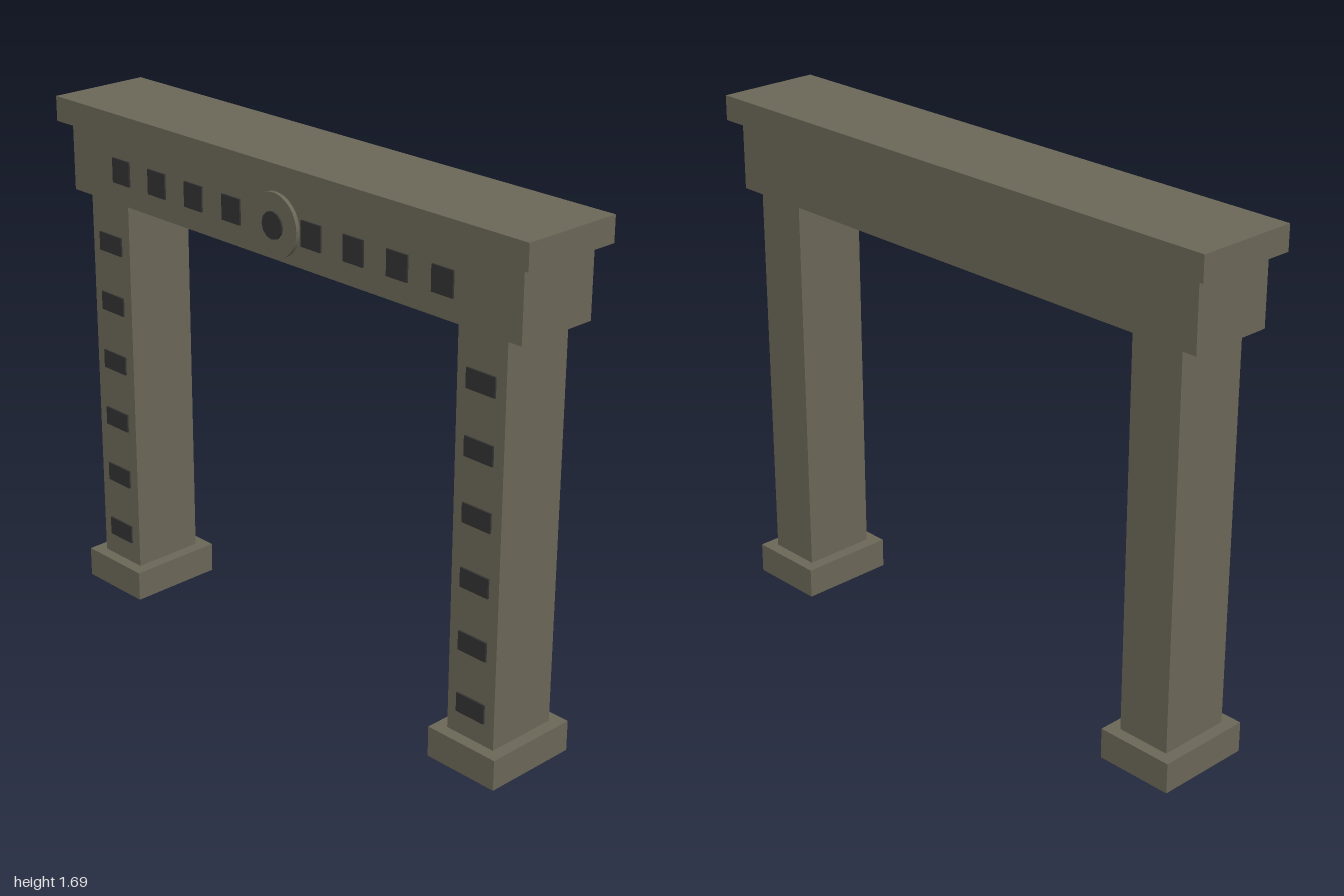
import * as THREE from 'three';

export function createModel() {
  const group = new THREE.Group();
  const stone = new THREE.MeshStandardMaterial({ color: 0x6b6858 });
  stone.name = 'stone';
  const dark = new THREE.MeshStandardMaterial({ color: 0x333333 });
  dark.name = 'dark inlay';

  const add = (name, geometry, material, x, y, z) => {
    const mesh = new THREE.Mesh(geometry, material);
    mesh.name = name;
    mesh.position.set(x, y, z);
    group.add(mesh);
    return mesh;
  };
  // Box given by its bottom and top heights
  const block = (name, x, y0, y1, width, depth) =>
    add(name, new THREE.BoxGeometry(width, y1 - y0, depth), stone, x, (y0 + y1) / 2, 0);
  // Thin inlay standing on the front surface at z
  const inlay = (name, x, y, z, width, height) =>
    add(name, new THREE.BoxGeometry(width, height, 0.008), dark, x, y, z + 0.002);

  // Pillars with plinths and a column of inlays
  for (const side of [-1, 1]) {
    const label = side > 0 ? 'left' : 'right';
    const x = side * 0.806;
    block(label + 'Plinth', x, 0, 0.1, 0.262, 0.324);
    block(label + 'Pillar', x, 0.1, 1.38, 0.182, 0.246);
    for (let i = 0; i < 6; i++) {
      inlay(label + 'PillarInlay', x, 0.205 + i * 0.2045, 0.123, 0.108, 0.062);
    }
  }

  // Lintel and cap slab
  block('lintel', 0, 1.38, 1.605, 1.92, 0.282);
  block('cap', 0, 1.605, 1.686, 2, 0.346);

  // Row of square inlays, with the middle place left for the medallion
  for (let i = 0; i < 9; i++) {
    if (i !== 4) inlay('lintelInlay', -0.717 + i * 0.1735, 1.49, 0.141, 0.081, 0.081);
  }

  // Round medallion with a dark centre
  const disc = (name, radius, z0, z1, sides, material) => {
    const geometry = new THREE.CylinderGeometry(radius, radius, z1 - z0, sides);
    geometry.rotateX(Math.PI / 2);
    add(name, geometry, material, 0, 1.49, (z0 + z1) / 2);
  };
  disc('medallion', 0.1, 0.138, 0.154, 32, stone);
  disc('medallionCentre', 0.043, 0.152, 0.16, 12, dark);

  return group;
}
